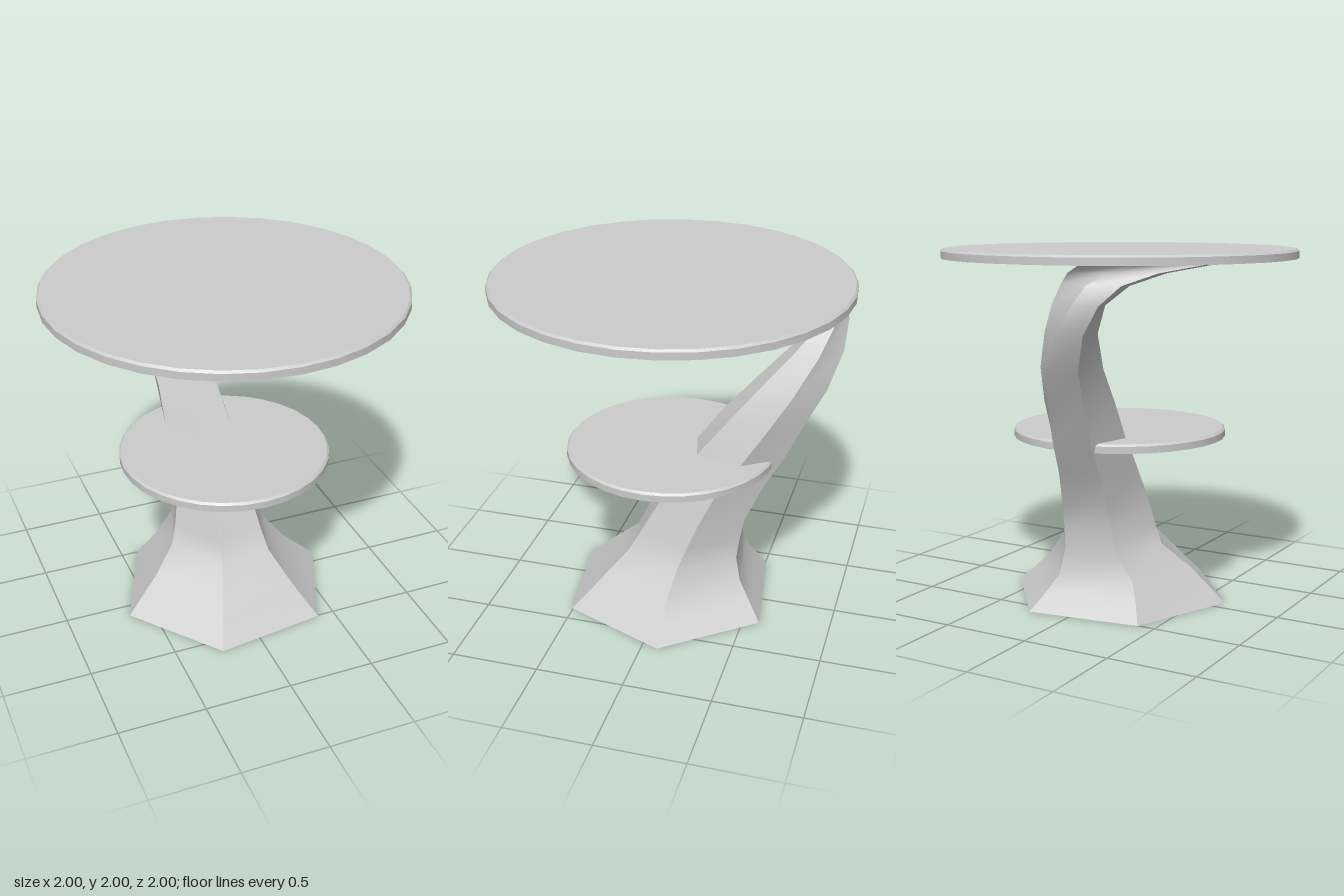
import * as THREE from 'three';
import { toCreasedNormals } from 'three/addons/utils/BufferGeometryUtils.js';

const material = new THREE.MeshStandardMaterial({ color: 0xcccccc });

// Round board with a small chamfer on its upper rim
function board(name, radius, bottom, top) {
  const c = 0.012;
  const profile = [[0, bottom], [radius, bottom], [radius, top - c], [radius - c, top], [0, top]]
    .map(([r, y]) => new THREE.Vector2(r, y));
  const mesh = new THREE.Mesh(toCreasedNormals(new THREE.LatheGeometry(profile, 32), 0.5), material);
  mesh.name = name;
  return mesh;
}

// Stem sections: height, centre x z, then offsets x z of two neighbouring corners
const sections = [
  [0, 0, 0, -0.24, 0.595, 0.4, 0.505],
  [0.1, -0.01, -0.015, -0.19, 0.505, 0.345, 0.43],
  [0.2, -0.015, -0.03, -0.145, 0.42, 0.29, 0.36],
  [0.34, 0, -0.09, -0.11, 0.33, 0.2, 0.3],
  [0.46, 0, -0.125, -0.105, 0.31, 0.175, 0.27],
  [0.6, 0, -0.17, -0.1, 0.29, 0.155, 0.24],
  [0.8, -0.015, -0.275, -0.08, 0.275, 0.155, 0.235],
  [1.0, -0.03, -0.4, -0.06, 0.265, 0.145, 0.215],
  [1.2, -0.05, -0.52, -0.045, 0.24, 0.14, 0.18],
  [1.4, -0.09, -0.66, -0.03, 0.205, 0.135, 0.16],
  [1.6, -0.165, -0.785, 0, 0.145, 0.14, 0.115],
  [1.75, -0.25, -0.85, 0.01, 0.085, 0.15, 0.06],
  [1.85, -0.34, -0.84, -0.02, 0.05, 0.16, 0.02],
  [1.91, -0.44, -0.79, -0.02, 0.06, 0.2, -0.05],
  [1.95, -0.57, -0.72, -0.02, 0.07, 0.25, -0.14],
];

// The six corners of a section follow from two neighbouring ones by symmetry
function corners([y, x, z, ax, az, bx, bz]) {
  const half = [[ax, az], [bx, bz], [bx - ax, bz - az]];
  return [...half, ...half.map(([u, v]) => [-u, -v])].map(([u, v]) => [x + u, y, z + v]);
}

function makeMesh(name, positions, index) {
  const geometry = new THREE.BufferGeometry();
  geometry.setAttribute('position', new THREE.Float32BufferAttribute(positions, 3));
  geometry.setIndex(index);
  geometry.computeVertexNormals();
  const mesh = new THREE.Mesh(geometry, material);
  mesh.name = name;
  return mesh;
}

// Leaning, twisting six-sided stem: one smooth strip per side, sharp between sides
function stem() {
  const group = new THREE.Group();
  group.name = 'stem';
  const rings = sections.map(corners);
  for (let side = 0; side < 6; side++) {
    const positions = [];
    const index = [];
    rings.forEach((ring, row) => {
      positions.push(...ring[side], ...ring[(side + 1) % 6]);
      if (row === 0) return;
      const k = 2 * row - 2;
      index.push(k, k + 1, k + 3, k, k + 3, k + 2);
    });
    group.add(makeMesh('stemSide', positions, index));
  }
  // Underside of the foot
  group.add(makeMesh('stemFoot', rings[0].flat(), [0, 2, 1, 0, 3, 2, 0, 4, 3, 0, 5, 4]));
  return group;
}

export function createModel() {
  const table = new THREE.Group();
  table.name = 'table';
  table.add(board('tableTop', 1, 1.948, 2), board('lowerShelf', 0.605, 0.94, 0.99), stem());
  return table;
}
